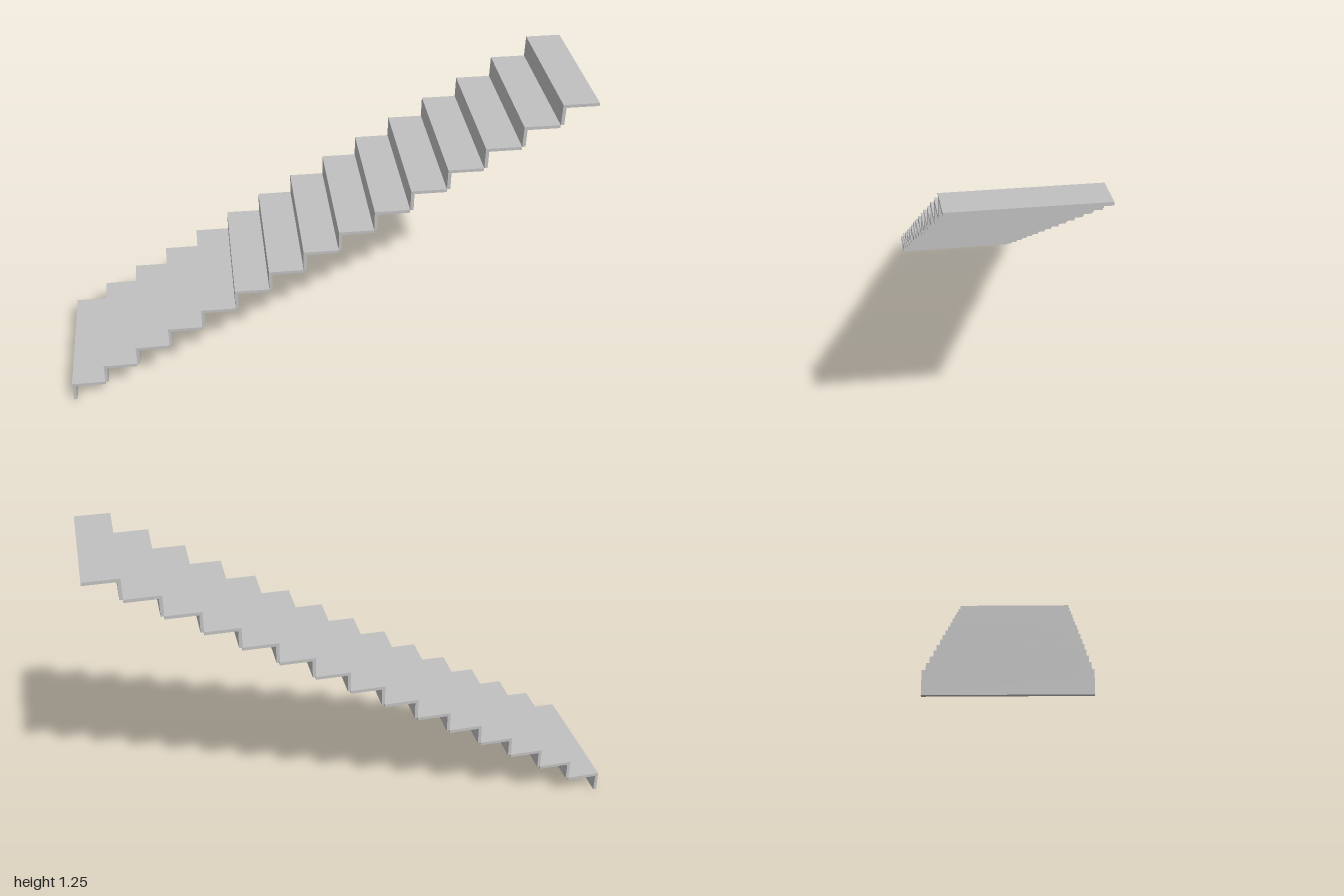
import * as THREE from 'three';

const STEPS = 15;
const RUN = 2 / STEPS;
const RISE = 1.25 / STEPS;
const WIDTH = 0.524;
const THICK = 0.0125;

export function createModel() {
  const stairs = new THREE.Group();
  stairs.name = 'staircase';
  const grey = new THREE.MeshStandardMaterial({ color: 0xc0c0c0 });
  grey.name = 'light grey';

  const treadGeometry = new THREE.BoxGeometry(RUN, THICK, WIDTH);
  const riserGeometry = new THREE.BoxGeometry(THICK, RISE - THICK, WIDTH);

  function addBoard(parent, name, geometry, x, y) {
    const board = new THREE.Mesh(geometry, grey);
    board.name = name;
    board.position.set(x, y, 0);
    parent.add(board);
  }

  // Each step is an upright riser carrying the front edge of a thin tread
  for (let i = 0; i < STEPS; i++) {
    const step = new THREE.Group();
    step.name = `step${i + 1}`;
    step.position.set(-1 + i * RUN, i * RISE, 0);
    addBoard(step, 'riser', riserGeometry, THICK / 2, (RISE - THICK) / 2);
    addBoard(step, 'tread', treadGeometry, RUN / 2, RISE - THICK / 2);
    stairs.add(step);
  }
  return stairs;
}
